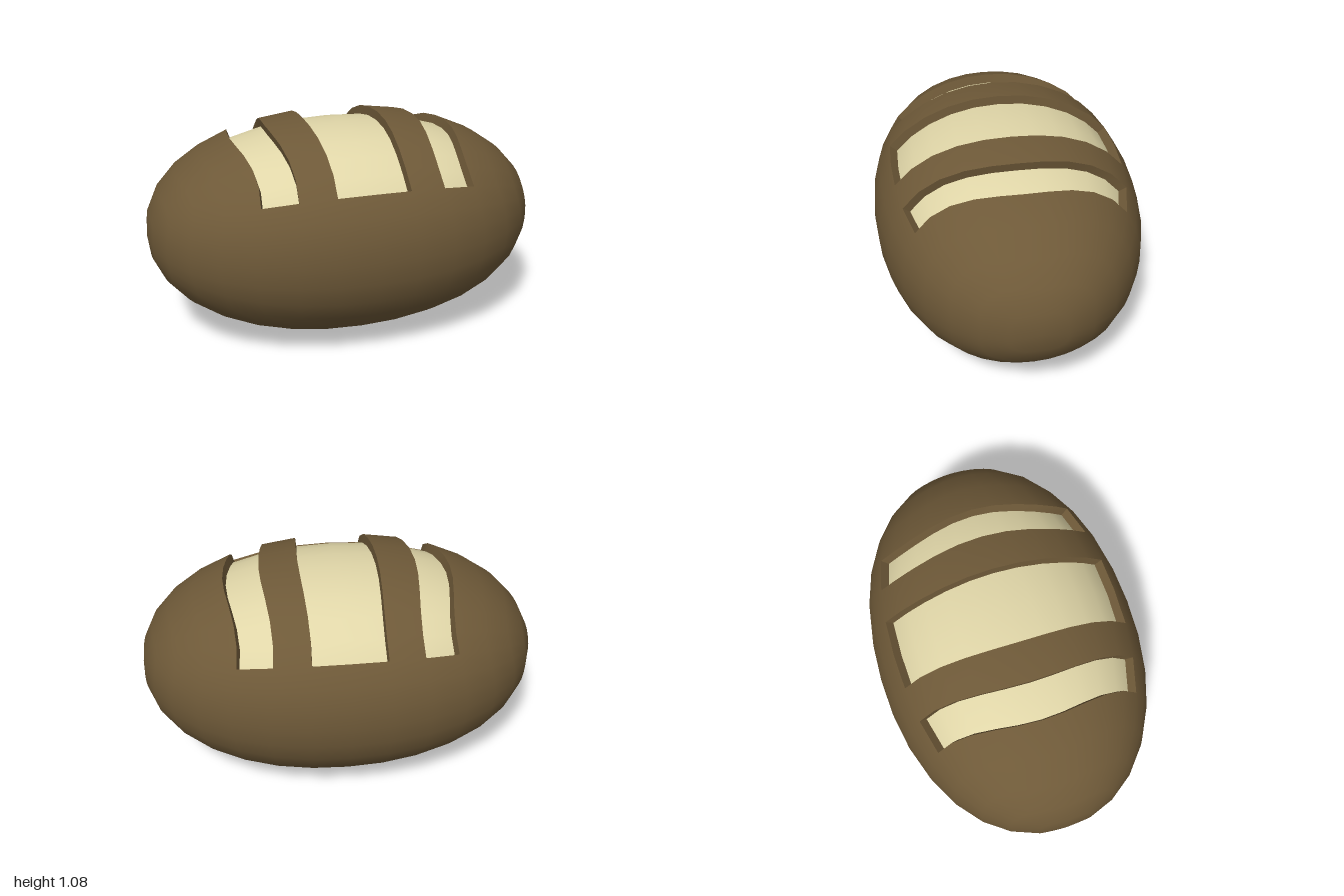
import * as THREE from 'three';

const HALF = new THREE.Vector3(1, 0.545, 0.672); // half sizes of the loaf
const N = 2.15;                                  // slightly fuller than an ellipsoid
const RINGS = 16, SEGS = 32, DEPTH = 0.045;

// Score cuts: ring range along x, and segments either side of the top
const CUTS = [
  { name: 'rightCut', i0: 5, i1: 6 },
  { name: 'middleCut', i0: 7, i1: 9 },
  { name: 'leftCut', i0: 10, i1: 11 },
];
const REACH = 5;

const crust = new THREE.MeshStandardMaterial({ color: 0x6e5938 });
const crumb = new THREE.MeshStandardMaterial({ color: 0xe0d6a8 });

const norm2 = (a, b) => Math.pow(Math.abs(a) ** N + Math.abs(b) ** N, -1 / N);
const slope = (v) => Math.sign(v) * Math.abs(v) ** (N - 1);

// Point and normal on the loaf: ring i runs along x, segment j round it from the top
function loafPoint(i, j, depth = 0) {
  const a = (Math.PI * i) / RINGS, phi = (2 * Math.PI * j) / SEGS;
  const c = -Math.cos(a), s = Math.sin(a);
  let x = c * norm2(c, s);
  // rings bow inwards on the shoulders
  x *= 1 - 0.1 * Math.sin(2 * phi) ** 2 * (1 - Math.min(1, Math.abs(x)) ** 4);
  const r = Math.pow(Math.max(0, 1 - Math.abs(x) ** N), 1 / N);
  const k = r * norm2(Math.cos(phi), Math.sin(phi));
  const unit = new THREE.Vector3(x, k * Math.cos(phi), k * Math.sin(phi));
  const normal = new THREE.Vector3(slope(unit.x), slope(unit.y), slope(unit.z)).divide(HALF).normalize();
  const point = unit.multiply(HALF).addScaledVector(normal, -depth);
  point.y += HALF.y;
  return { point, normal };
}

// Grid mesh from a rule; cells can be left out, normals are computed when asked
function gridMesh(name, material, nu, nv, rule, { keep = () => true, compute = false } = {}) {
  const pos = [], nor = [], index = [];
  for (let u = 0; u <= nu; u++) {
    for (let v = 0; v <= nv; v++) {
      const { point, normal } = rule(u, v);
      pos.push(...point.toArray());
      nor.push(...normal.toArray());
      if (u === nu || v === nv || !keep(u, v)) continue;
      const p = u * (nv + 1) + v, q = p + nv + 1;
      index.push(p, p + 1, q + 1, p, q + 1, q);
    }
  }
  const geo = new THREE.BufferGeometry();
  geo.setAttribute('position', new THREE.Float32BufferAttribute(pos, 3));
  geo.setAttribute('normal', new THREE.Float32BufferAttribute(nor, 3));
  geo.setIndex(index);
  if (compute) geo.computeVertexNormals();
  const mesh = new THREE.Mesh(geo, material);
  mesh.name = name;
  return mesh;
}

export function createModel() {
  const loaf = new THREE.Group();
  loaf.name = 'breadLoaf';

  // Crust with openings for the cuts
  const half = SEGS / 2;
  const inCut = (i, j) => j >= -REACH && j < REACH && CUTS.some((c) => i >= c.i0 && i < c.i1);
  loaf.add(gridMesh('crust', crust, RINGS, SEGS, (u, v) => loafPoint(u, v - half),
    { keep: (u, v) => !inCut(u, v - half) }));

  for (const { name, i0, i1 } of CUTS) {
    const cut = new THREE.Group();
    cut.name = name;
    const w = i1 - i0, l = 2 * REACH;

    // Sunken pale floor
    cut.add(gridMesh('cutFloor', crumb, w, l, (u, v) => loafPoint(i0 + u, v - REACH, DEPTH)));

    // Four walls, going round the opening
    const walls = [
      [l, (t) => [i0, t - REACH]],
      [w, (t) => [i0 + t, REACH]],
      [l, (t) => [i1, REACH - t]],
      [w, (t) => [i1 - t, -REACH]],
    ];
    for (const [count, edge] of walls) {
      cut.add(gridMesh('cutWall', crust, 1, count,
        (u, v) => loafPoint(...edge(v), u * DEPTH), { compute: true }));
    }
    loaf.add(cut);
  }
  return loaf;
}
